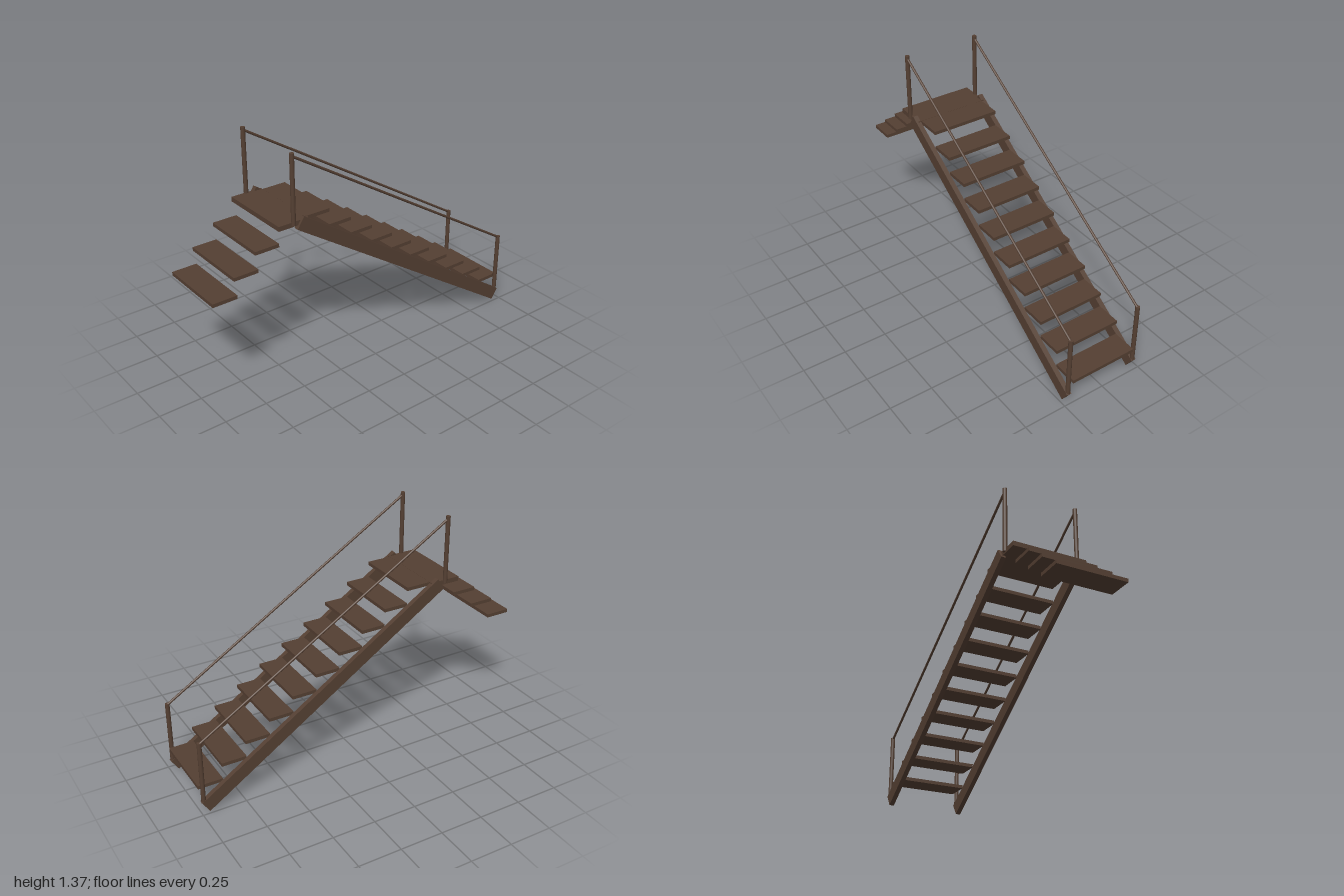
import * as THREE from 'three';

export function createModel() {
  const group = new THREE.Group();
  group.name = 'staircase';
  const wood = new THREE.MeshStandardMaterial({ color: 0x543f32 });
  wood.name = 'dark brown wood';

  function add(name, geometry, x, y, z) {
    const mesh = new THREE.Mesh(geometry, wood);
    mesh.name = name;
    mesh.position.set(x, y, z);
    group.add(mesh);
    return mesh;
  }

  // Main flight: ten treads climbing towards the front
  const depth = 0.143;
  const tread = new THREE.BoxGeometry(0.404, 0.02, depth);
  for (let i = 0; i < 10; i++) {
    add('mainTread', tread, 0, 0.151 + i * 0.0933, -0.9285 + i * 0.1427);
  }

  // Landing at the top
  add('landing', new THREE.BoxGeometry(0.44, 0.027, 0.182), 0, 0.9875, 0.519);

  // Short floating flight going down in front
  for (let i = 0; i < 3; i++) {
    add('frontTread', tread, 0, 0.887 - i * 0.1025, 0.6705 + i * 0.129);
  }

  // Stringers, posts and handrails, mirrored left and right
  const stringer = new THREE.BoxGeometry(0.028, 0.075, 1.743);
  const railStart = new THREE.Vector3(0, 0.43, -0.98);
  const railEnd = new THREE.Vector3(0, 1.357, 0.52);
  const railDir = railEnd.clone().sub(railStart);
  const railMid = railStart.clone().add(railEnd).multiplyScalar(0.5);
  const rail = new THREE.CylinderGeometry(0.007, 0.007, railDir.length(), 10);
  const topPost = new THREE.CylinderGeometry(0.0125, 0.0125, 0.39, 16);
  const bottomPost = new THREE.CylinderGeometry(0.0125, 0.0125, 0.375, 16);
  for (const [side, s] of [['left', 1], ['right', -1]]) {
    const x = s * 0.219;
    add(side + 'Stringer', stringer, x, 0.512, -0.2445).rotation.x = -0.579;
    add(side + 'TopPost', topPost, x, 1.178, 0.52);
    add(side + 'BottomPost', bottomPost, x, 0.249, -0.981);
    add(side + 'Handrail', rail, x, railMid.y, railMid.z)
      .quaternion.setFromUnitVectors(new THREE.Vector3(0, 1, 0), railDir.clone().normalize());
  }
  return group;
}
